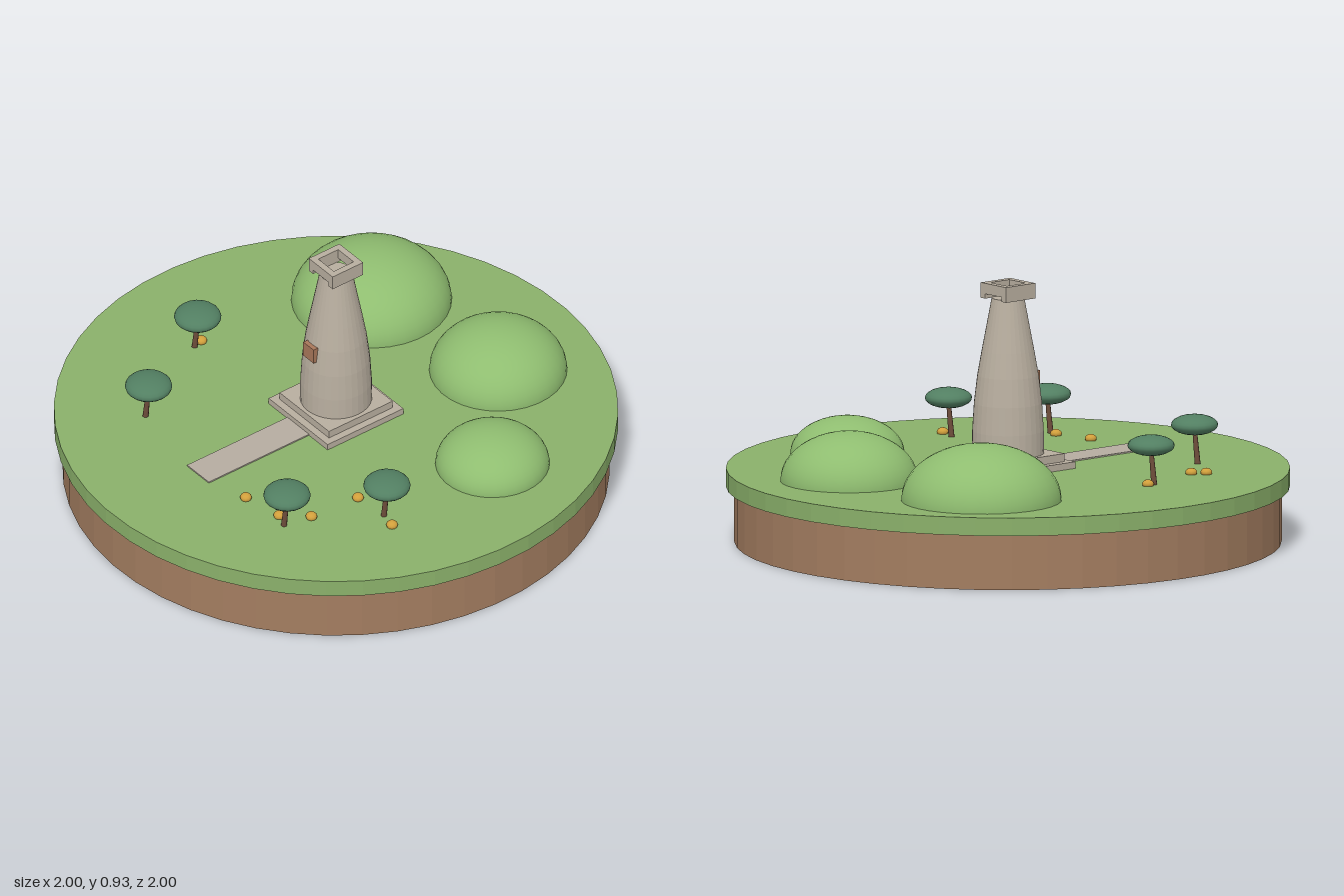
import * as THREE from 'three';

const mat = (name, color) => {
  const m = new THREE.MeshStandardMaterial({ color });
  m.name = name;
  return m;
};

export function createModel() {
  const soil = mat('soil brown', 0xa37d60);
  const grass = mat('grass green', 0x8ab06a);
  const hillGreen = mat('hill green', 0x8fbd70);
  const stone = mat('stone grey', 0xb8ae9f);
  const pathGrey = mat('path grey', 0xb5aca0);
  const wood = mat('window wood', 0xa8775a);
  const bark = mat('bark brown', 0x6e4d3b);
  const leaf = mat('leaf green', 0x527f62);
  const yellow = mat('flower yellow', 0xd2a03c);

  const model = new THREE.Group();
  model.name = 'towerIsland';

  const add = (parent, name, geometry, material, x = 0, y = 0, z = 0) => {
    const mesh = new THREE.Mesh(geometry, material);
    mesh.name = name;
    mesh.position.set(x, y, z);
    parent.add(mesh);
    return mesh;
  };
  const faceted = (geometry) => {
    const g = geometry.toNonIndexed();
    g.computeVertexNormals();
    return g;
  };
  const box = (w, h, d) => new THREE.BoxGeometry(w, h, d);
  const ground = 0.265;

  // Island: soil disc under a slightly wider turf disc
  add(model, 'soilDisc', faceted(new THREE.CylinderGeometry(0.97, 0.97, 0.2, 48)), soil, 0, 0.1, 0);
  add(model, 'turfDisc', faceted(new THREE.CylinderGeometry(1, 1, 0.065, 48)), grass, 0, 0.2325, 0);

  // Rounded hills: x, z, radius, height
  const dome = new THREE.SphereGeometry(1, 32, 12, 0, Math.PI * 2, 0, Math.PI / 2);
  for (const [x, z, r, h] of [
    [-0.23, -0.605, 0.285, 0.2],
    [0.365, -0.5, 0.245, 0.175],
    [0.635, -0.03, 0.203, 0.133],
  ]) {
    add(model, 'hill', dome, hillGreen, x, ground, z).scale.set(r, h, r);
  }

  // Tower group, turned towards the path
  const tower = new THREE.Group();
  tower.name = 'tower';
  tower.rotation.y = -0.35;
  model.add(tower);

  add(tower, 'lowerStep', box(0.34, 0.024, 0.34), stone, 0, 0.277, 0);
  add(tower, 'upperStep', box(0.285, 0.03, 0.285), stone, 0, 0.303, 0);
  add(tower, 'path', box(0.125, 0.006, 0.46), pathGrey, 0, 0.267, 0.39);

  // Tapering shaft with a bulging profile
  const profile = [
    [0.128, 0.316], [0.127, 0.4], [0.121, 0.5], [0.109, 0.6],
    [0.093, 0.69], [0.076, 0.78], [0.058, 0.877], [0, 0.877],
  ].map(([r, y]) => new THREE.Vector2(r, y));
  add(tower, 'shaft', faceted(new THREE.LatheGeometry(profile, 32)), stone);

  // Open square crown: deep side bars, shallower front and back bars
  for (const s of [-1, 1]) {
    add(tower, 'crownSideBar', box(0.024, 0.055, 0.137), stone, s * 0.0565, 0.9025, 0);
    add(tower, 'crownCrossBar', box(0.089, 0.038, 0.024), stone, 0, 0.911, s * 0.0565);
  }
  add(tower, 'window', box(0.06, 0.06, 0.032), wood, 0, 0.575, 0.108);

  // Flat-topped trees with leaning trunks
  const trunk = new THREE.CylinderGeometry(0.008, 0.011, 0.14, 8);
  const canopy = new THREE.SphereGeometry(1, 20, 12);
  for (const [x, z] of [[-0.603, -0.04], [-0.538, 0.392], [0.213, 0.668], [0.483, 0.432]]) {
    const tree = new THREE.Group();
    tree.name = 'tree';
    tree.position.set(x, ground, z);
    add(tree, 'trunk', trunk, bark, -0.006, 0.065, 0).rotation.z = -0.1;
    add(tree, 'canopy', canopy, leaf, 0, 0.14, 0).scale.set(0.084, 0.036, 0.084);
    model.add(tree);
  }

  // Small round flowers
  const flower = new THREE.SphereGeometry(0.021, 12, 8);
  for (const [x, z] of [
    [-0.678, 0.227], [-0.632, 0.2], [-0.61, -0.075], [0.005, 0.61],
    [0.16, 0.635], [0.26, 0.58], [0.342, 0.4], [0.528, 0.47],
  ]) {
    add(model, 'flower', flower, yellow, x, 0.272, z).scale.y = 0.75;
  }

  return model;
}
